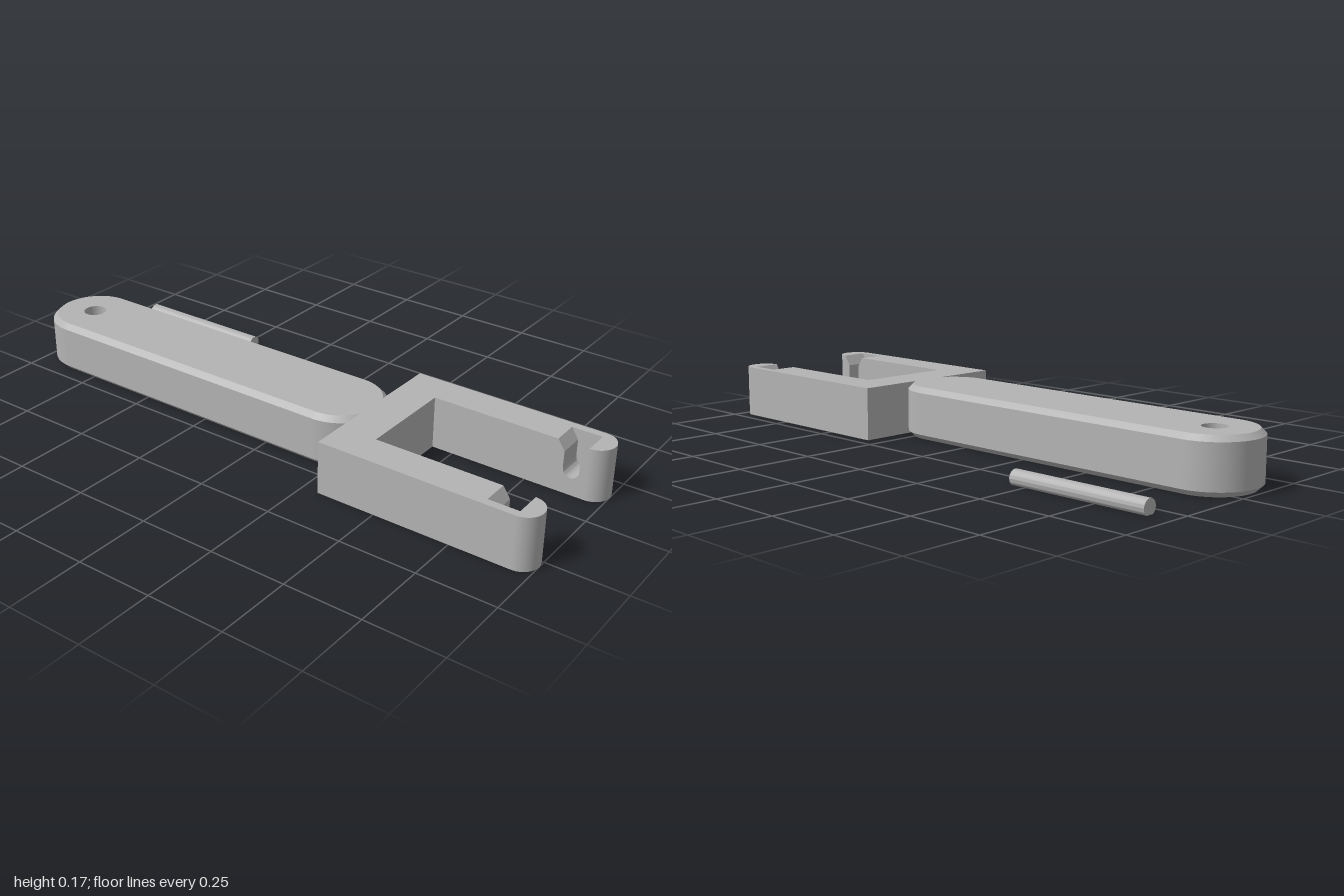
import * as THREE from 'three';
import { toCreasedNormals } from 'three/addons/utils/BufferGeometryUtils.js';

const H = 0.172;          // thickness of handle and fork
const MID = 0.062;        // z of the long axis
const X0 = -0.853, X1 = 0.19, R = 0.147; // handle end centres and radius
const FORK = 0.305;       // x where the fork begins
const BEVEL = 0.017;

const metal = new THREE.MeshStandardMaterial({ color: 0xb4b4b4 });
metal.name = 'grey';

function add(parent, name, geometry, x = 0, y = 0, z = 0) {
  const mesh = new THREE.Mesh(geometry, metal);
  mesh.name = name;
  mesh.position.set(x, y, z);
  parent.add(mesh);
  return mesh;
}

// Handle outline of radius r, cut off at the fork: [x, z, angle]
function outline(r) {
  const pts = [], a0 = Math.acos((FORK - X1) / r), n = 16;
  const arc = (cx, from, to, steps) => {
    for (let i = 0; i <= steps; i++) {
      const a = from + (to - from) * i / steps;
      pts.push([cx + r * Math.cos(a), r * Math.sin(a), a]);
    }
  };
  arc(X1, a0, Math.PI / 2, n);
  arc(X0, Math.PI / 2, Math.PI * 1.5, n * 2);
  arc(X1, Math.PI * 1.5, Math.PI * 2 - a0, n);
  return pts;
}

// Side band between two outlines
function band(r0, y0, r1, y1) {
  const low = outline(r0), high = outline(r1), pos = [], nor = [], idx = [];
  const len = Math.hypot(r1 - r0, y1 - y0);
  const out = (y1 - y0) / len, up = (r0 - r1) / len;
  low.forEach((p, i) => {
    const q = high[i];
    pos.push(p[0], y0, p[1], q[0], y1, q[1]);
    for (const a of [p[2], q[2]]) nor.push(out * Math.cos(a), up, out * Math.sin(a));
    if (i) {
      const k = 2 * i - 2;
      idx.push(k, k + 1, k + 2, k + 1, k + 3, k + 2);
    }
  });
  const g = new THREE.BufferGeometry();
  g.setAttribute('position', new THREE.Float32BufferAttribute(pos, 3));
  g.setAttribute('normal', new THREE.Float32BufferAttribute(nor, 3));
  g.setIndex(idx);
  return g;
}

function makeHandle() {
  const handle = new THREE.Group();
  handle.name = 'handle';
  handle.position.z = MID;
  add(handle, 'handleSide', band(R, BEVEL, R, H - BEVEL));
  add(handle, 'handleTopBevel', band(R, H - BEVEL, R - BEVEL, H));
  add(handle, 'handleBottomBevel', band(R - BEVEL, 0, R, BEVEL));

  // Top and bottom faces with the hanging hole
  const face = new THREE.Shape(outline(R - BEVEL).map(p => new THREE.Vector2(p[0], p[1])));
  const hole = new THREE.Path();
  hole.absarc(X0 - 0.004, 0, 0.038, 0, Math.PI * 2, true);
  face.holes.push(hole);
  const flat = new THREE.ShapeGeometry(face, 16);
  add(handle, 'handleTop', flat.clone().rotateX(-Math.PI / 2), 0, H);
  add(handle, 'handleBottom', flat.rotateX(Math.PI / 2));

  // Hole wall, turned inside out
  const wall = new THREE.CylinderGeometry(0.038, 0.038, H, 32, 1, true);
  wall.setIndex(Array.from(wall.index.array).reverse());
  const n = wall.attributes.normal;
  for (let i = 0; i < n.count; i++) n.setXYZ(i, -n.getX(i), 0, -n.getZ(i));
  add(handle, 'hangingHole', wall, X0 - 0.004, H / 2);
  return handle;
}

// One fork arm on the +z side, with a pin slot opening inward and upward
function makeArm(name) {
  const arm = new THREE.Group();
  arm.name = name;
  const inner = 0.16, outer = 0.272, wall = 0.026;
  const from = 0.43, to = 0.945, w = outer - inner;
  const cx = 0.896, s = 0.026, flare = 0.049, slotY = 0.083;

  const side = new THREE.Shape();
  side.moveTo(from, 0);
  side.lineTo(to, 0);
  side.lineTo(to, H);
  side.lineTo(cx + flare, H);
  side.lineTo(cx + s, H - 0.035);
  side.lineTo(cx + s, slotY);
  side.absarc(cx, slotY, s, 0, -Math.PI, true);
  side.lineTo(cx - s, H - 0.035);
  side.lineTo(cx - flare, H);
  side.lineTo(from, H);
  const slotted = new THREE.ExtrudeGeometry(side, { depth: w - wall, bevelEnabled: false, curveSegments: 16 });
  add(arm, 'slottedSide', toCreasedNormals(slotted, 0.5), 0, 0, inner);
  add(arm, 'outerWall', new THREE.BoxGeometry(to - from, H, wall), (from + to) / 2, H / 2, outer - wall / 2);

  // Rounded tip
  const tip = new THREE.CylinderGeometry(w / 2, w / 2, H, 24, 1, false, 0, Math.PI);
  add(arm, 'roundedTip', tip, to, H / 2, (inner + outer) / 2);
  // Flat back of the tip, seen through the slot
  const back = new THREE.PlaneGeometry(w, H).rotateY(-Math.PI / 2);
  add(arm, 'tipBack', back, to, H / 2, (inner + outer) / 2);
  return arm;
}

// Mirrors a group's geometry across z = 0, keeping faces outward
function mirrorZ(group) {
  group.children.forEach(mesh => {
    const g = mesh.geometry.index ? mesh.geometry.toNonIndexed() : mesh.geometry;
    g.scale(1, 1, -1);
    for (const key of ['position', 'normal']) {
      const a = g.attributes[key];
      for (let i = 0; i < a.count; i += 3) {
        const b = [a.getX(i), a.getY(i), a.getZ(i)];
        a.setXYZ(i, a.getX(i + 1), a.getY(i + 1), a.getZ(i + 1));
        a.setXYZ(i + 1, ...b);
      }
    }
    mesh.geometry = g;
    mesh.position.z *= -1;
  });
  return group;
}

function makeFork() {
  const fork = new THREE.Group();
  fork.name = 'fork';
  fork.position.z = MID;
  add(fork, 'forkBase', new THREE.BoxGeometry(0.125, H, 0.544), FORK + 0.0625, H / 2);
  fork.add(makeArm('frontArm'), mirrorZ(makeArm('backArm')));
  return fork;
}

// Loose axle pin with a flat underside
function makePin() {
  const r = 0.0245, cy = 0.0205, a = Math.asin(cy / r);
  const section = new THREE.Shape();
  section.absarc(0, cy, r, -a, Math.PI + a, false);
  const g = new THREE.ExtrudeGeometry(section, { depth: 0.475, bevelEnabled: false, curveSegments: 32 });
  return toCreasedNormals(g.rotateY(Math.PI / 2), 0.5);
}

export function createModel() {
  const model = new THREE.Group();
  model.name = 'forkedHandle';
  model.add(makeHandle(), makeFork());
  add(model, 'axlePin', makePin(), -0.925, 0, -0.3095);
  return model;
}
